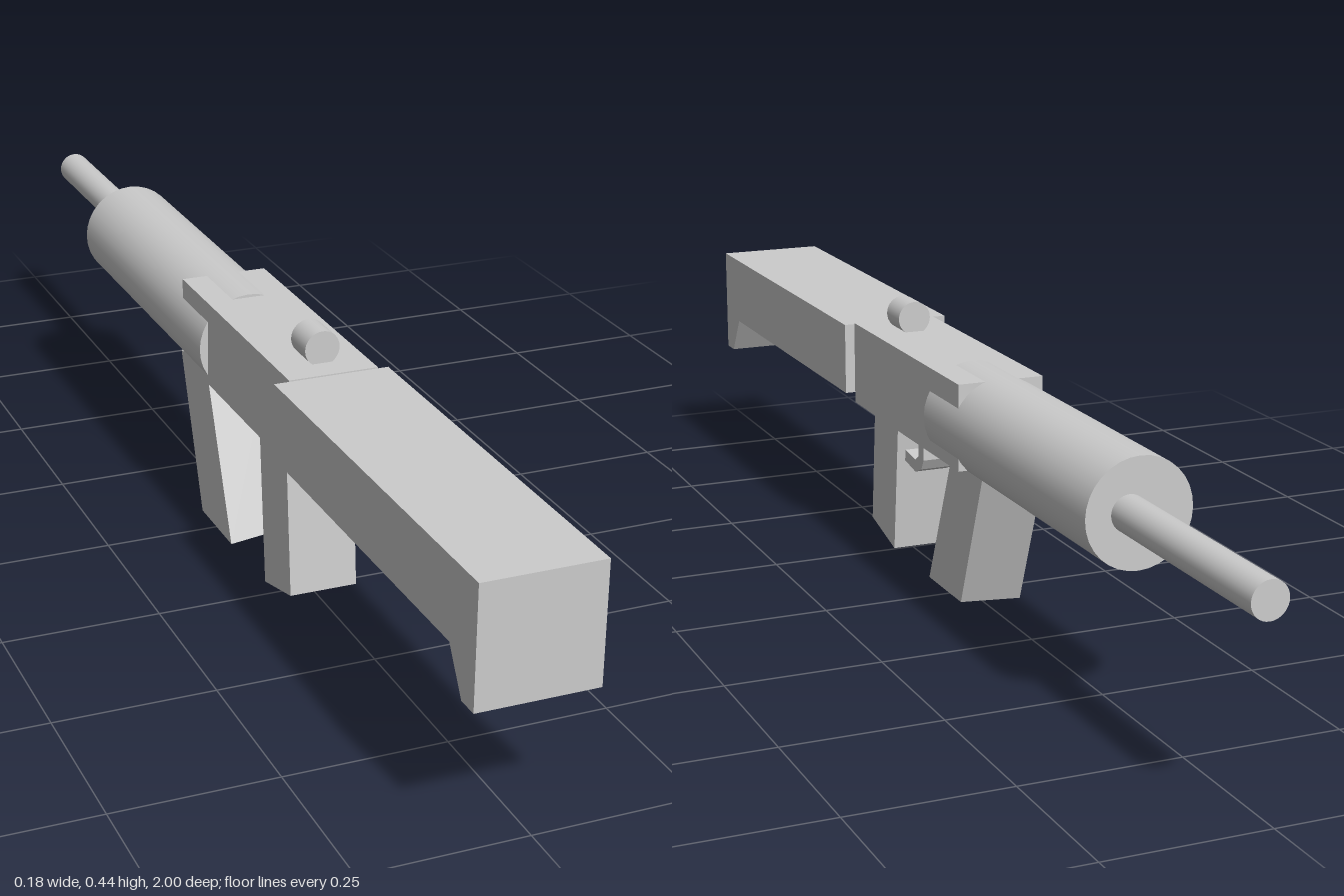
import * as THREE from 'three';

const material = new THREE.MeshStandardMaterial({ color: 0xcccccc });

export function createModel() {
  const group = new THREE.Group();

  const add = (name, geometry) => {
    const mesh = new THREE.Mesh(geometry, material);
    mesh.name = name;
    group.add(mesh);
    return mesh;
  };

  // Side profile of [z, y] points, extruded across the width x0..x1
  const slab = (points, x0, x1) => {
    const shape = new THREE.Shape(points.map(([z, y]) => new THREE.Vector2(z, y)));
    return new THREE.ExtrudeGeometry(shape, { depth: x1 - x0, bevelEnabled: false })
      .rotateY(-Math.PI / 2)
      .translate(x1, 0, 0);
  };

  // Cylinder lying along z
  const rod = (radius, x, y, z0, z1) =>
    new THREE.CylinderGeometry(radius, radius, z1 - z0, 32)
      .rotateX(Math.PI / 2)
      .translate(x, y, (z0 + z1) / 2);

  // Stock with a tapered heel
  add('stock', slab([
    [1, 0.388], [1, 0.203], [0.965, 0.203], [0.925, 0.268], [0.325, 0.268], [0.325, 0.388],
  ], -0.092, 0.092));

  // Receiver block, overlapping the rear of the fore-end
  add('receiver', slab([
    [0.325, 0.25], [0.325, 0.39], [-0.135, 0.39], [-0.135, 0.25],
  ], -0.068, 0.075));

  // Round parts along the length
  add('foreEnd', rod(0.084, 0.002, 0.311, -0.61, -0.018));
  add('barrel', rod(0.028, 0.018, 0.313, -1, -0.6));
  add('rearSight', rod(0.028, 0.004, 0.413, 0.225, 0.28));

  // Raked rear grip
  add('rearGrip', slab([
    [0.312, 0.26], [0.203, 0.26], [0.227, 0.01], [0.332, 0.036],
  ], -0.066, 0.043));

  // Slanted front grip, set slightly askew
  const frontGrip = slab([
    [-0.04, 0.26], [-0.165, 0.26], [-0.07, 0.006], [0.065, 0.006],
  ], -0.062, 0.045);
  frontGrip.applyMatrix4(new THREE.Matrix4().set(
    1, 0, 0, 0,
    0.09, 1, 0, 0,
    -0.06, 0, 1, 0,
    0, 0, 0, 1,
  ));
  frontGrip.computeVertexNormals();
  add('frontGrip', frontGrip);

  // Hooked trigger guard
  add('triggerGuard', slab([
    [0.15, 0.26], [0.128, 0.26], [0.128, 0.192], [0.138, 0.174], [0.165, 0.163],
    [0.215, 0.171], [0.215, 0.19], [0.165, 0.184], [0.15, 0.194],
  ], -0.028, 0.028));

  return group;
}
